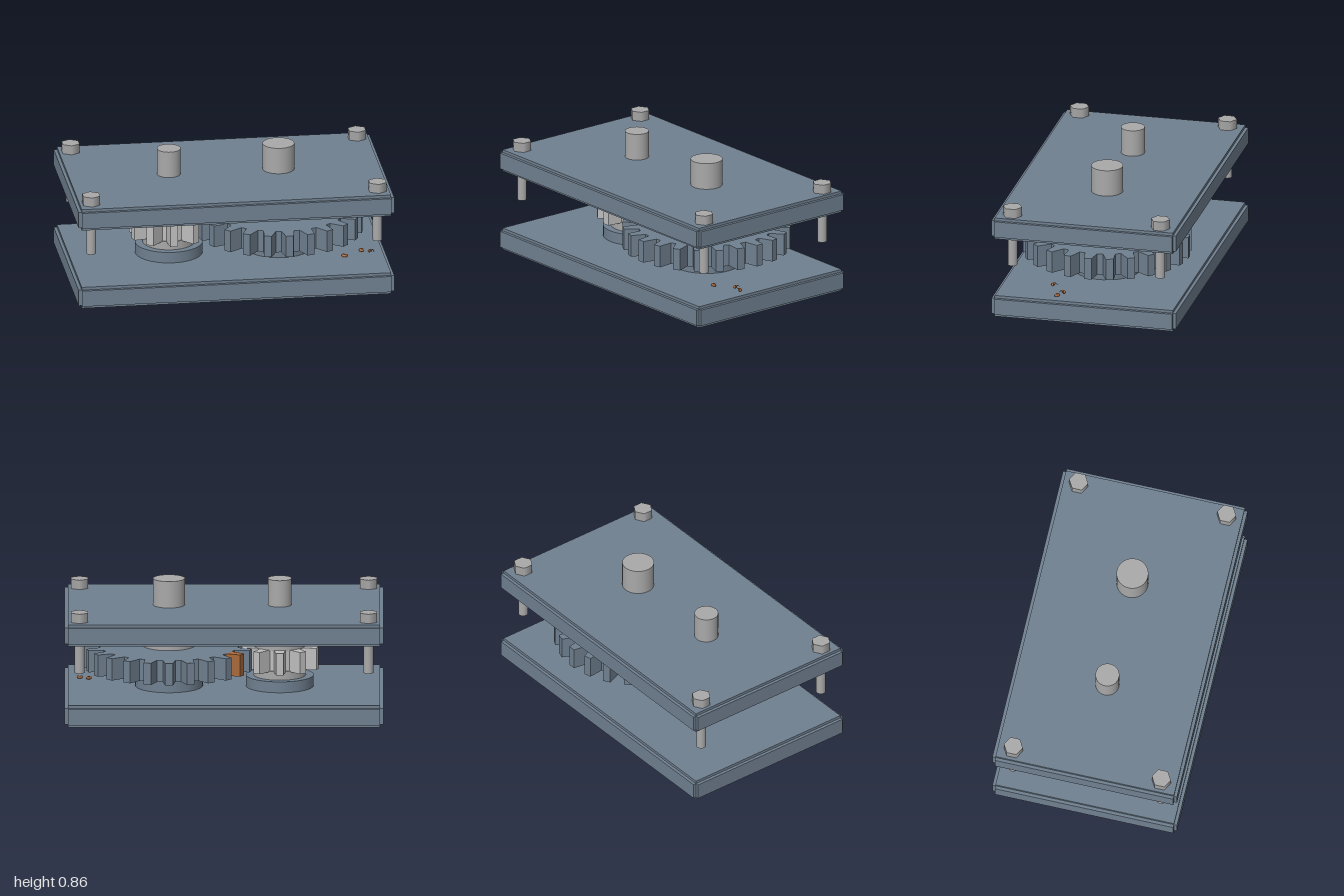
import * as THREE from 'three';

const mat = (name, color) => {
  const m = new THREE.MeshStandardMaterial({ color });
  m.name = name;
  return m;
};

export function createModel() {
  const root = new THREE.Group();
  root.name = 'gearboxAssembly';
  const slate = mat('slate steel', 0x708090);
  const steel = mat('grey steel', 0xa9a9a9);
  const silver = mat('silver', 0xc0c0c0);
  const blue = mat('blue seal', 0x6666b4);
  const copper = mat('copper brown', 0xa8683a);

  const add = (parent, name, geo, material, x = 0, y = 0, z = 0) => {
    const m = new THREE.Mesh(geo, material);
    m.name = name;
    m.position.set(x, y, z);
    parent.add(m);
    return m;
  };
  // Upright cylinder between two heights
  const cyl = (parent, name, r, y0, y1, material, x, z = 0, sides = 40) =>
    add(parent, name, new THREE.CylinderGeometry(r, r, y1 - y0, sides), material, x, (y0 + y1) / 2, z);

  // Plates with stepped edges on every side
  for (const [name, y] of [['lowerPlate', 0.1], ['upperPlate', 0.62]]) {
    const g = new THREE.Group();
    g.name = name;
    add(g, 'plateCore', new THREE.BoxGeometry(1.96, 0.14, 1.15), slate, 0, y);
    add(g, 'plateEnds', new THREE.BoxGeometry(2, 0.104, 1.15), slate, 0, y);
    add(g, 'plateSides', new THREE.BoxGeometry(1.96, 0.104, 1.19), slate, 0, y);
    root.add(g);
  }

  // Shafts, bearing flanges and hubs
  const pinionX = -0.35, gearX = 0.345;
  for (const [side, x, r] of [['pinion', pinionX, 0.075], ['gear', gearX, 0.1]]) {
    cyl(root, side + 'Shaft', r, 0, 0.86, steel, x);
    cyl(root, side + 'LowerBearing', 0.213, 0.165, 0.24, slate, x);
    cyl(root, side + 'UpperBearing', 0.213, 0.5, 0.555, slate, x);
    cyl(root, side + 'LowerHub', 0.165, 0.24, 0.295, side === 'gear' ? blue : steel, x);
    cyl(root, side + 'UpperHub', 0.165, 0.425, 0.5, steel, x);
  }

  // Gears: each tooth is four points, root - tip - tip - root
  const tooth = (a, rRoot, rTip, hRoot, hTip) =>
    [[rRoot, -hRoot], [rTip, -hTip], [rTip, hTip], [rRoot, hRoot]].map(([r, h]) =>
      new THREE.Vector2(r * Math.cos(a + h), r * Math.sin(a + h)));
  const slab = (points) => {
    const geo = new THREE.ExtrudeGeometry(new THREE.Shape(points), { depth: 0.14, bevelEnabled: false });
    return geo.rotateX(Math.PI / 2);
  };
  const gearPoints = (n, phase, dims, skip = -1) => {
    const pts = [];
    for (let i = 0; i < n; i++) {
      const t = tooth((i + phase) * 2 * Math.PI / n, ...dims);
      if (i === skip) pts.push(t[0], t[3]);
      else pts.push(...t);
    }
    return pts;
  };
  const gearDims = [0.438, 0.53, 0.09, 0.045];
  const wornIndex = 14;
  add(root, 'pinion', slab(gearPoints(10, 0.5, [0.157, 0.25, 0.23, 0.095])), silver, pinionX, 0.43);
  add(root, 'largeGear', slab(gearPoints(24, 0, gearDims, wornIndex)), slate, gearX, 0.43);
  add(root, 'wornTooth', slab(tooth(wornIndex * Math.PI / 12, ...gearDims)), copper, gearX, 0.43);

  // Corner bolts
  for (const x of [-0.907, 0.907]) {
    for (const z of [-0.477, 0.477]) {
      const bolt = new THREE.Group();
      bolt.name = 'cornerBolt';
      cyl(bolt, 'boltHead', 0.061, 0.69, 0.75, steel, x, z, 6);
      cyl(bolt, 'boltShank', 0.03, 0.36, 0.69, steel, x, z, 24);
      root.add(bolt);
    }
  }

  // Curled metal shavings on the lower plate
  for (const [x, z, turn] of [[0.73, 0.25, 0], [0.85, 0.168, 1], [0.905, 0.192, 2.2]]) {
    const chip = add(root, 'metalShaving',
      new THREE.TorusGeometry(0.011, 0.0085, 8, 12, Math.PI * 1.5), copper, x, 0.18, z);
    chip.rotation.set(Math.PI / 2, 0, turn);
  }
  return root;
}
